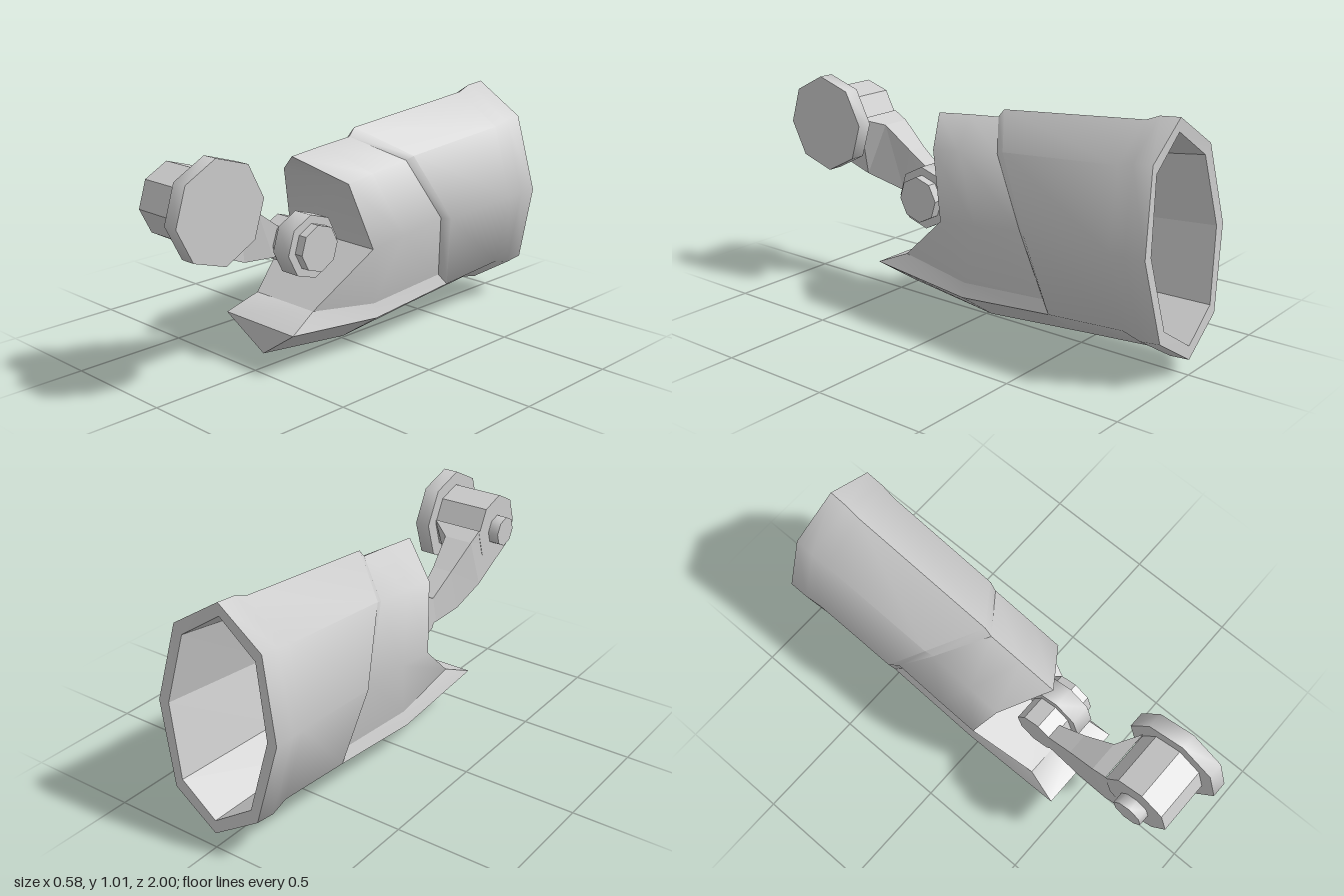
import * as THREE from 'three';
import { toCreasedNormals } from 'three/addons/utils/BufferGeometryUtils.js';

const smooth = new THREE.MeshStandardMaterial({ color: 0xcccccc });
const flat = new THREE.MeshStandardMaterial({ color: 0xcccccc, flatShading: true });
const flatDouble = new THREE.MeshStandardMaterial({ color: 0xcccccc, flatShading: true, side: THREE.DoubleSide });
const CREASE = 0.87;

function triangles(list) {
  const g = new THREE.BufferGeometry();
  g.setAttribute('position', new THREE.Float32BufferAttribute(list.flat(), 3));
  return toCreasedNormals(g, CREASE);
}

const same = (a, b) => a.every((v, k) => Math.abs(v - b[k]) < 1e-6);

function quad(out, a, b, c, d) {
  for (const t of [[a, b, c], [a, c, d]]) {
    if (!same(t[0], t[1]) && !same(t[1], t[2]) && !same(t[0], t[2])) out.push(...t);
  }
}

// Joins closed loops of equal length, front loop first
function skin(out, loops) {
  const n = loops[0].length;
  for (let r = 0; r < loops.length - 1; r++) {
    for (let i = 0; i < n; i++) {
      const j = (i + 1) % n;
      quad(out, loops[r][i], loops[r][j], loops[r + 1][j], loops[r + 1][i]);
    }
  }
}

// The shell leans very slightly sideways along its length
const lean = ([x, y, z]) => [x - 0.011 * (z + 1), y, z];
const mirror = ([x, y, z]) => [-x, y, z];

// Lofts mirrored half profiles (top to bottom); caps are strips from side to side
function shell(halves, capFront, capBack) {
  const out = [];
  const loops = halves.map(h =>
    [...h, ...h.filter(p => p[0] > 0).reverse().map(mirror)].map(lean));
  skin(out, loops);
  const cap = (h, front) => {
    for (let i = 0; i < h.length - 1; i++) {
      const c = [h[i], mirror(h[i]), mirror(h[i + 1]), h[i + 1]].map(p => lean(p).map(v => v + 0));
      quad(out, ...(front ? c : c.reverse()));
    }
  };
  if (capFront) cap(halves[0], true);
  if (capBack) cap(halves[halves.length - 1], false);
  return triangles(out);
}

// Eight-sided cylinder lying along x
function disc(x0, x1, y, z, radius, smoothSides) {
  const g = new THREE.CylinderGeometry(radius, radius, x1 - x0, 8);
  g.rotateZ(Math.PI / 2).rotateX(0.087).translate((x0 + x1) / 2, y, z);
  return smoothSides ? toCreasedNormals(g, CREASE) : g;
}

export function createModel() {
  const model = new THREE.Group();
  const add = (name, geometry, material) => {
    const mesh = new THREE.Mesh(geometry, material);
    mesh.name = name;
    model.add(mesh);
  };

  // Inner collar with a notched, dished front face
  const collarRear = [[0, 0.885, -0.055], [0.19, 0.79, -0.2], [0.25, 0.52, -0.36], [0.184, 0.23, -0.43], [0, 0.15, -0.43]];
  add('collar', shell([
    [[0, 0.855, 0.27], [0.19, 0.75, 0.14], [0.247, 0.47, 0.055], [0.168, 0.25, 0.32], [0, 0.2, 0.3]],
    [[0, 0.872, 0.1], [0.19, 0.768, 0], [0.249, 0.49, -0.13], [0.182, 0.2, -0.02], [0, 0.12, -0.02]],
    collarRear,
  ], true, false), smooth);

  // Outer sleeve: bevelled front edge, long wall, flared rim
  const back = [[0, 1.012, -0.915], [0.21, 0.875, -0.93], [0.288, 0.54, -0.96], [0.205, 0.195, -0.988], [0, 0.067, -1]];
  const lip = back.map(([x, y, z]) => [x * 0.84, 0.54 + (y - 0.54) * 0.88, z + 0.003]);
  add('sleeve', shell([
    collarRear,
    [[0, 0.92, -0.085], [0.2, 0.805, -0.235], [0.275, 0.51, -0.4], [0.2, 0.18, -0.47], [0, 0.045, -0.47]],
    [[0, 0.98, -0.765], [0.205, 0.848, -0.775], [0.278, 0.53, -0.8], [0.2, 0.205, -0.82], [0, 0.077, -0.835]],
    [[0, 1.004, -0.825], [0.21, 0.868, -0.845], [0.288, 0.54, -0.87], [0.205, 0.185, -0.9], [0, 0.06, -0.915]],
    back,
    lip,
  ], false, false), smooth);

  // Deep socket in the rear end
  const deep = lip.map(([x, y, z]) => [x * 0.93, 0.5 + (y - 0.54) * 0.9, z + 0.55]);
  add('rearSocket', shell([lip, deep], false, true), flatDouble);

  // V-shaped keel running forward under the collar
  add('keel', shell([
    [[0.168, 0.25, 0.32], [0.2, 0.19, 0.46], [0, 0.055, 0.44]],
    [[0.182, 0.2, -0.02], [0.2, 0.14, -0.02], [0, 0.003, -0.02]],
    [[0.184, 0.23, -0.43], [0.2, 0.18, -0.47], [0, 0.045, -0.47]],
  ], true, true), smooth);

  // Head with side disc and small knob
  add('head', disc(-0.135, 0.1, 0.76, 0.79, 0.15, false), flat);
  add('headDisc', disc(0.095, 0.162, 0.76, 0.79, 0.211, true), smooth);
  add('headKnob', disc(-0.183, -0.13, 0.75, 0.788, 0.067, true), smooth);

  // Arm: four-cornered sections [left, upperRight, lowerRight, upper y z, lower y z]
  const arm = [
    [-0.135, 0.095, 0.095, 0.79, 0.64, 0.645, 0.886],
    [-0.133, 0.0, 0.03, 0.755, 0.575, 0.525, 0.66],
    [-0.113, -0.02, -0.04, 0.655, 0.45, 0.457, 0.51],
    [-0.1, -0.03, -0.035, 0.57, 0.33, 0.445, 0.36],
    [-0.1, -0.03, -0.03, 0.54, 0.25, 0.46, 0.25],
  ].map(([l, ur, lr, uy, uz, ly, lz]) => [[l, uy, uz], [ur, uy, uz], [lr, ly, lz], [l, ly, lz]]);
  const armFaces = [];
  skin(armFaces, arm);
  add('arm', triangles(armFaces), flat);

  // Pivot hub on its axle
  add('pivotAxle', disc(-0.1, 0.14, 0.5, 0.265, 0.1, false), flat);
  add('pivotHub', disc(0.01, 0.1, 0.5, 0.265, 0.136, true), smooth);

  return model;
}
